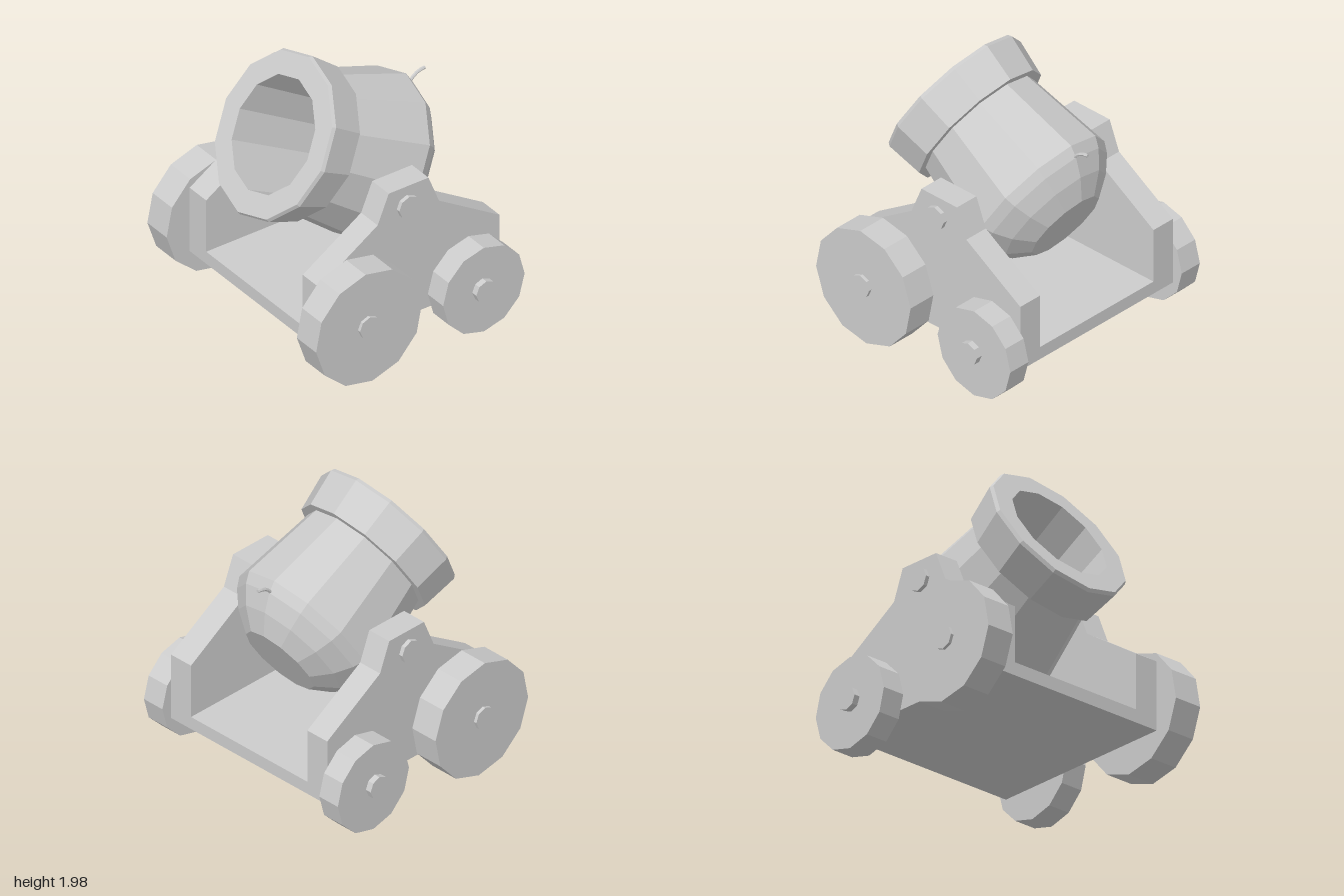
import * as THREE from 'three';

const material = new THREE.MeshStandardMaterial({ color: 0xcccccc, flatShading: true });

function part(name, geometry, parent) {
  const mesh = new THREE.Mesh(geometry, material);
  mesh.name = name;
  parent.add(mesh);
  return mesh;
}

// Faceted disc or pin lying along x, from x0 to x1
function sideCylinder(name, parent, x0, x1, y, z, radius, sides, turn = 0) {
  const geometry = new THREE.CylinderGeometry(radius, radius, x1 - x0, sides);
  geometry.rotateZ(Math.PI / 2).rotateX(turn);
  part(name, geometry, parent).position.set((x0 + x1) / 2, y, z);
}

function createBarrel() {
  const barrel = new THREE.Group();
  barrel.name = 'barrel';

  // Closed profile: breech, body, muzzle band, rim and hollow bore [radius, along axis]
  const profile = [
    [0, 0.02], [0.30, 0.02], [0.45, 0.12], [0.55, 0.225], [0.59, 0.30],
    [0.489, 0.913], [0.548, 0.913], [0.588, 1.175], [0.575, 1.2],
    [0.41, 1.2], [0.36, 0.2], [0, 0.2],
  ].map(([r, a]) => new THREE.Vector2(r, a));
  const tube = part('barrelBody', new THREE.LatheGeometry(profile, 12), barrel);
  tube.scale.x = 0.92;
  tube.rotation.x = Math.PI / 3;
  tube.position.set(0, 0.889, -0.513);

  // Bent fuse at the breech
  const path = new THREE.CatmullRomCurve3([
    new THREE.Vector3(0, 1.45, -0.56),
    new THREE.Vector3(0, 1.5, -0.60),
    new THREE.Vector3(0, 1.53, -0.645),
    new THREE.Vector3(0, 1.54, -0.70),
  ]);
  part('fuse', new THREE.TubeGeometry(path, 5, 0.012, 6), barrel);
  const tip = part('fuseTip', new THREE.CircleGeometry(0.012, 6), barrel);
  tip.position.set(0, 1.54, -0.70);
  tip.rotation.y = Math.PI;
  return barrel;
}

// Stepped side plate, drawn as (z, y) and extruded along x
function cheekGeometry(x0, x1) {
  const outline = [
    [0.68, 0.235], [0.68, 0.735], [0.207, 1.04], [0.117, 1.255],
    [-0.205, 1.255], [-0.29, 1.04], [-0.78, 0.735], [-0.78, 0.235],
  ].map(([z, y]) => new THREE.Vector2(-z, y));
  const geometry = new THREE.ExtrudeGeometry(new THREE.Shape(outline), { depth: x1 - x0, bevelEnabled: false });
  return geometry.rotateY(Math.PI / 2).translate(x0, 0, 0);
}

export function createModel() {
  const model = new THREE.Group();
  model.name = 'mortarCannon';
  model.add(createBarrel());

  // Carriage floor
  const floor = part('carriageFloor', new THREE.BoxGeometry(1.08, 0.095, 1.46), model);
  floor.position.set(0, 0.2825, -0.05);

  // Cheeks, trunnions, wheels and hubs on both sides
  for (const side of [1, -1]) {
    const label = side > 0 ? 'left' : 'right';
    const span = (a, b) => (side > 0 ? [a, b] : [-b, -a]);
    part(label + 'Cheek', cheekGeometry(...span(0.54, 0.725)), model);
    sideCylinder(label + 'Trunnion', model, ...span(0.44, 0.755), 1.105, -0.03, 0.083, 8);
    sideCylinder(label + 'FrontWheel', model, ...span(0.728, 0.944), 0.44, 0.435, 0.43, 12, 0.066);
    sideCylinder(label + 'FrontHub', model, ...span(0.72, 0.967), 0.455, 0.443, 0.082, 8);
    sideCylinder(label + 'RearWheel', model, ...span(0.728, 0.9), 0.338, -0.527, 0.33, 12);
    sideCylinder(label + 'RearHub', model, ...span(0.72, 0.945), 0.35, -0.515, 0.082, 8);
  }
  return model;
}
